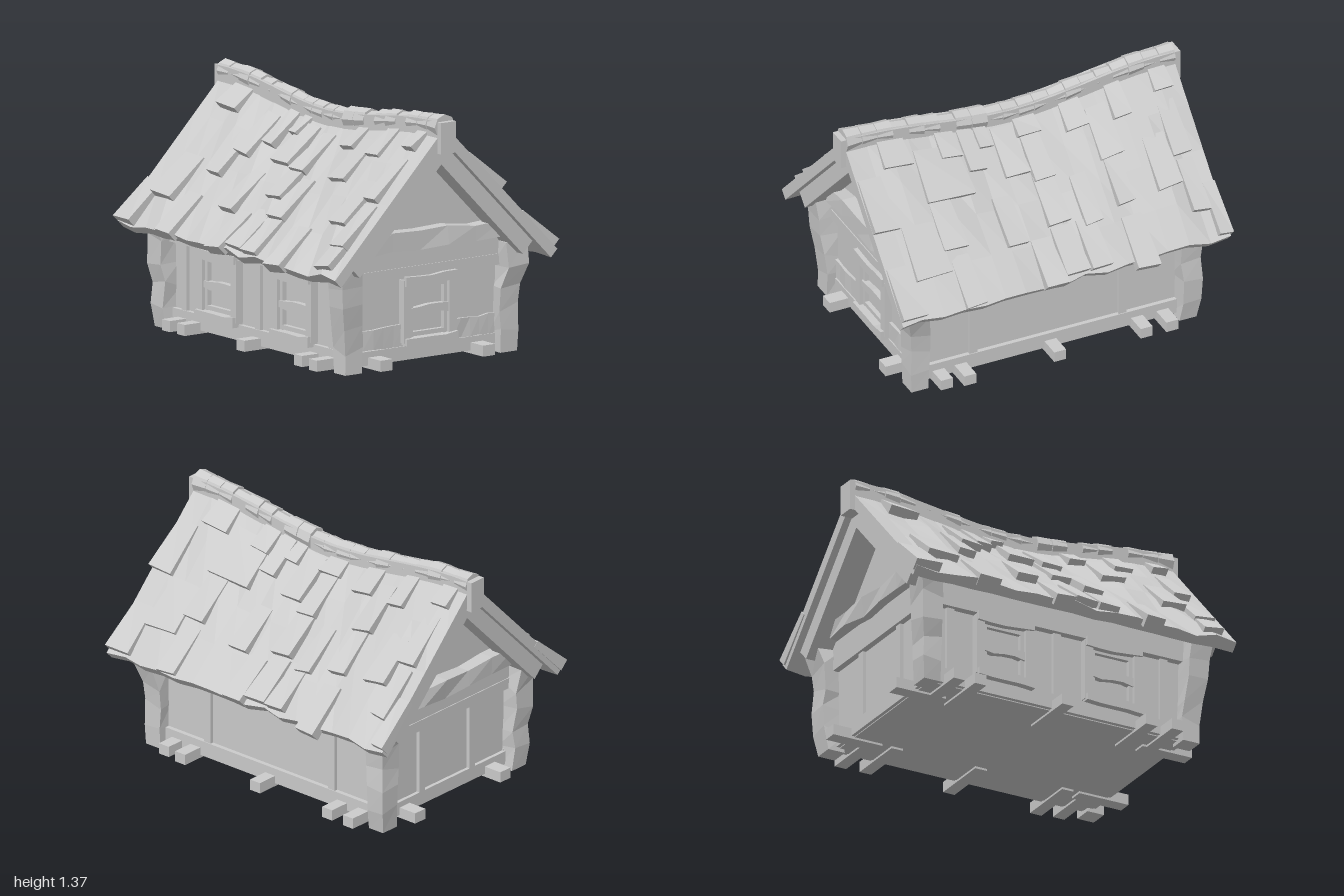
import * as THREE from 'three';

const mat = new THREE.MeshStandardMaterial({ color: 0xcccccc, flatShading: true });

// repeatable noise in -1..1
const noise = (a, b = 0, c = 0) => {
  const n = Math.sin(a * 127.1 + b * 311.7 + c * 74.7) * 43758.5453;
  return (n - Math.floor(n)) * 2 - 1;
};

// height of the sagging ridge along z
const ridgeTop = z => 1.25 + 0.09 * THREE.MathUtils.smoothstep(Math.abs(z), 0, 0.9);

function add(parent, name, geo) {
  const mesh = new THREE.Mesh(geo, mat);
  mesh.name = name;
  parent.add(mesh);
  return mesh;
}

// box given by its limits
function span(x0, x1, y0, y1, z0, z1, sx = 1, sy = 1, sz = 1) {
  return new THREE.BoxGeometry(x1 - x0, y1 - y0, z1 - z0, sx, sy, sz)
    .translate((x0 + x1) / 2, (y0 + y1) / 2, (z0 + z1) / 2);
}

// move every vertex by a rule
function warp(geo, rule) {
  const p = geo.attributes.position, v = new THREE.Vector3();
  for (let i = 0; i < p.count; i++) {
    v.fromBufferAttribute(p, i);
    rule(v);
    p.setXYZ(i, v.x, v.y, v.z);
  }
  const flat = geo.toNonIndexed();
  flat.computeVertexNormals();
  return flat;
}

// (slope position, lift, z) to a point on the sagging roof; sign of x is the side
function toRoof(v, s) {
  const u = Math.abs(v.x), lift = v.y;
  v.x = s * (0.03 + 0.7 * u + 0.7 * lift);
  v.y = (ridgeTop(v.z) - 0.07) * (1 - u) + 0.56 * u + 0.7 * lift;
}

function roofSlab(s, u0, u1, l0, l1, z0, z1, su, sz, shape = () => {}) {
  const geo = s > 0 ? span(u0, u1, l0, l1, z0, z1, su, 1, sz) : span(-u1, -u0, l0, l1, z0, z1, su, 1, sz);
  return warp(geo, v => { shape(v, Math.abs(v.x)); toRoof(v, s); });
}

// shingles: z start, z end, distance of the lower edge from the ridge line
const shinglesLeft = [
  [0.82, 0.97, 0.4], [0.61, 0.82, 0.61], [0.63, 0.8, 0.17], [0.48, 0.62, 0.53], [0.34, 0.46, 0.17],
  [0.23, 0.33, 0.24], [0.34, 0.62, 0.33], [0.15, 0.23, 0.15], [0.14, 0.26, 0.57], [0, 0.14, 0.29],
  [-0.14, 0, 0.14], [-0.13, -0.01, 0.33], [-0.13, 0, 0.52], [-0.3, -0.2, 0.56], [-0.4, -0.27, 0.18],
  [-0.53, -0.4, 0.33], [-0.51, -0.41, 0.52], [-0.64, -0.54, 0.2], [-0.79, -0.65, 0.51],
  [-0.91, -0.8, 0.15], [-0.9, -0.79, 0.4], [-0.9, -0.8, 0.63],
  [-0.98, -0.9, 0.74], [-0.53, -0.4, 0.78], [-0.27, -0.15, 0.74], [-0.14, 0, 0.74], [0, 0.13, 0.77],
  [0.48, 0.6, 0.76], [0.82, 0.97, 0.75],
];
const shinglesRight = [
  [-0.83, -0.65, 0.61], [-0.82, -0.65, 0.18], [-0.47, -0.35, 0.33], [-0.33, -0.24, 0.25], [-0.27, -0.15, 0.58],
  [-0.2, -0.13, 0.17], [-0.17, -0.02, 0.31], [0, 0.12, 0.47], [0.02, 0.14, 0.33], [0.14, 0.26, 0.56],
  [0.27, 0.37, 0.18], [0.38, 0.52, 0.34], [0.53, 0.64, 0.21], [0.64, 0.78, 0.53], [0.78, 0.9, 0.63],
  [0.78, 0.88, 0.41], [0.79, 0.88, 0.16], [-0.55, -0.45, 0.45],
  [-0.98, -0.83, 0.75], [-0.6, -0.47, 0.76], [-0.14, -0.02, 0.77], [0, 0.13, 0.74], [0.14, 0.26, 0.74],
  [0.4, 0.52, 0.78], [0.78, 0.9, 0.73],
];

function makeRoof(house) {
  const roof = new THREE.Group();
  roof.name = 'roof';
  house.add(roof);
  for (const s of [1, -1]) {
    // uneven main sheet
    add(roof, 'roofSheet', roofSlab(s, 0, 1, -0.06, 0, -0.97, 0.97, 4, 16, (v, u) => {
      if (v.y > -0.01 && u > 0.1 && Math.abs(v.z) < 0.95) v.y += 0.015 * noise(u, v.z, s);
      if (u > 0.99) v.x *= 1 + 0.02 * noise(v.z, s);
    }));
    // wedge shingles, lifted at the lower edge
    for (const [z0, z1, x] of s > 0 ? shinglesLeft : shinglesRight) {
      const end = (x - 0.055) / 0.7, start = Math.max(0, end - 0.3), zm = (z0 + z1) / 2;
      add(roof, 'shingle', roofSlab(s, start, end, -0.03, 0.04, z0, z1, 1, 1, (v, u) => {
        const low = u > (start + end) / 2;
        if (v.y > 0) v.y = low ? 0.04 + 0.008 * noise(v.z, x) : 0.008;
        if (low) v.x *= 1 + 0.012 * noise(v.z, x, 2);
        else v.z = zm + (v.z - zm) * 0.88;
      }));
    }
    // rafters under both gable overhangs
    for (const e of [1, -1])
      add(roof, 'rafter', roofSlab(s, 0, 0.88, -0.15, -0.05, Math.min(e * 0.8, e * 0.93), Math.max(e * 0.8, e * 0.93), 1, 1));
  }
  // ridge beam following the sag
  add(roof, 'ridgeBeam', warp(span(-0.055, 0.045, -0.18, -0.01, -1, 1, 1, 1, 16), v => {
    v.y += ridgeTop(v.z);
  }));
  // rounded ridge caps, alternating in size
  const count = 21;
  for (let i = 0; i < count; i++) {
    const length = 1.94 / count, z = -0.97 + (i + 0.5) * length, grow = 1 + 0.16 * noise(i, 3);
    const cap = new THREE.CylinderGeometry(0.055, 0.055, length * 0.96, 8).rotateX(Math.PI / 2);
    add(roof, 'ridgeCap', warp(cap, v => {
      const wide = grow * (1 + 0.1 * Math.sign(v.z) * noise(i, 7));
      v.x = v.x * wide - 0.005;
      v.y = v.y * wide + ridgeTop(z + v.z) - 0.04;
      v.z += z;
    }));
  }
}

// framed window facing +z, centred on x = 0, on the plane z = 0
function makeWindow() {
  const w = new THREE.Group();
  w.name = 'window';
  for (const x of [-0.15, 0.15])
    add(w, 'windowJamb', span(x - 0.025, x + 0.025, 0.12, 0.46, -0.02, 0.04));
  const rails = [[0.43, 0.48, 0.17, 0.055], [0.1, 0.15, 0.17, 0.06], [0.265, 0.305, 0.13, 0.03]];
  rails.forEach(([y0, y1, half, depth], k) =>
    add(w, 'windowRail', warp(span(-half, half, y0, y1, -0.02, depth, 4, 1, 1), v => {
      v.y += 0.008 * noise(v.x, v.y, k);
    })));
  for (const x of [-0.115, 0.115])
    add(w, 'windowSash', span(x - 0.012, x + 0.012, 0.14, 0.44, -0.02, 0.02));
  for (const y of [0.16, 0.42])
    add(w, 'windowSash', span(-0.12, 0.12, y - 0.012, y + 0.012, -0.02, 0.02));
  return w;
}

// warped horizontal plank
function plank(x0, x1, y0, y1, z0, z1, rough, seed) {
  return warp(span(x0, x1, y0, y1, z0, z1, 5, 1, 1), v => {
    v.y += rough * noise(v.x, v.y, seed);
    if (v.z > (z0 + z1) / 2) v.z += rough * 0.6 * noise(v.x, v.y, seed + 1);
  });
}

export function createModel() {
  const house = new THREE.Group();
  house.name = 'house';

  // walls with gables in one body
  const outline = new THREE.Shape([[-0.5, 0.02], [0.5, 0.02], [0.5, 0.6], [0, 1.11], [-0.5, 0.6]]
    .map(([x, y]) => new THREE.Vector2(x, y)));
  add(house, 'walls', new THREE.ExtrudeGeometry(outline, { depth: 1.54, bevelEnabled: false }).translate(0, 0, -0.77));

  // gable ends: sill, top beams and rough tie beam
  for (const e of [1, -1]) {
    const end = new THREE.Group();
    end.name = e > 0 ? 'frontTimbers' : 'backTimbers';
    end.rotation.y = e > 0 ? 0 : Math.PI;
    house.add(end);
    add(end, 'sill', span(-0.5, 0.5, 0.025, 0.1, 0.74, 0.79));
    add(end, 'lintel', span(-0.5, 0.5, 0.47, 0.53, 0.74, 0.805));
    add(end, 'upperBeam', span(-0.5, 0.5, 0.53, 0.63, 0.74, 0.8));
    add(end, 'tieBeam', plank(-0.44, 0.47, 0.63, 0.72, 0.74, 0.85, 0.016, e));
    if (e > 0) {
      add(end, 'wallPlank', plank(-0.48, -0.14, 0.1, 0.215, 0.74, 0.785, 0.006, 4));
      add(end, 'wallPlank', plank(0.18, 0.48, 0.1, 0.205, 0.74, 0.785, 0.006, 5));
      const w = makeWindow();
      w.position.set(0.015, 0, 0.775);
      end.add(w);
    } else {
      for (const x of [-0.2, 0.2]) add(end, 'stud', span(x - 0.022, x + 0.022, 0.1, 0.48, 0.74, 0.79));
    }
    for (const x of [-0.34, 0.34]) add(end, 'floorJoist', span(x - 0.04, x + 0.04, 0.008, 0.068, 0.6, 0.9));
  }

  // long sides
  for (const s of [1, -1]) {
    const side = new THREE.Group();
    side.name = s > 0 ? 'leftTimbers' : 'rightTimbers';
    side.rotation.y = s * Math.PI / 2;
    house.add(side);
    add(side, 'sill', span(-0.78, 0.78, 0.025, 0.11, 0.46, 0.525));
    add(side, 'wallPlate', span(-0.78, 0.78, 0.47, 0.6, 0.46, 0.545));
    for (const x of s > 0 ? [-0.45, 0.43] : [-0.65, 0, 0.65])
      add(side, 'stud', span(x - 0.023, x + 0.023, 0.1, 0.48, 0.46, 0.52));
    if (s < 0) for (const x of [-0.33, 0.33]) {
      const w = makeWindow();
      w.position.set(x, 0, 0.505);
      side.add(w);
    }
    for (const x of [-0.66, -0.53, 0, 0.51, 0.66])
      add(side, 'floorJoist', span(x - 0.035, x + 0.035, 0.008, 0.068, 0.3, 0.64 + 0.01 * noise(x, s)));
  }

  // leaning, rough-hewn corner posts
  for (const sx of [1, -1]) for (const sz of [1, -1]) {
    const post = span(-0.055, 0.055, 0, 0.6, -0.05, 0.05, 1, 5, 1);
    add(house, 'cornerPost', warp(post, v => {
      const t = v.y / 0.6, outer = v.x * sx > 0 || v.z * sz > 0;
      const bump = v.y > 0.01 && outer ? 0.018 * noise(v.y * 3, sx, sz) : 0;
      const flare = 1 + 0.28 * t;
      v.x = v.x * flare + sx * (0.515 + 0.035 * t + bump);
      v.z = v.z * flare + sz * (0.79 + 0.025 * t + bump * 0.8);
      if (v.y > 0.01 && v.y < 0.59) v.y += 0.025 * noise(v.x, v.z, t);
    }));
  }

  makeRoof(house);
  return house;
}
